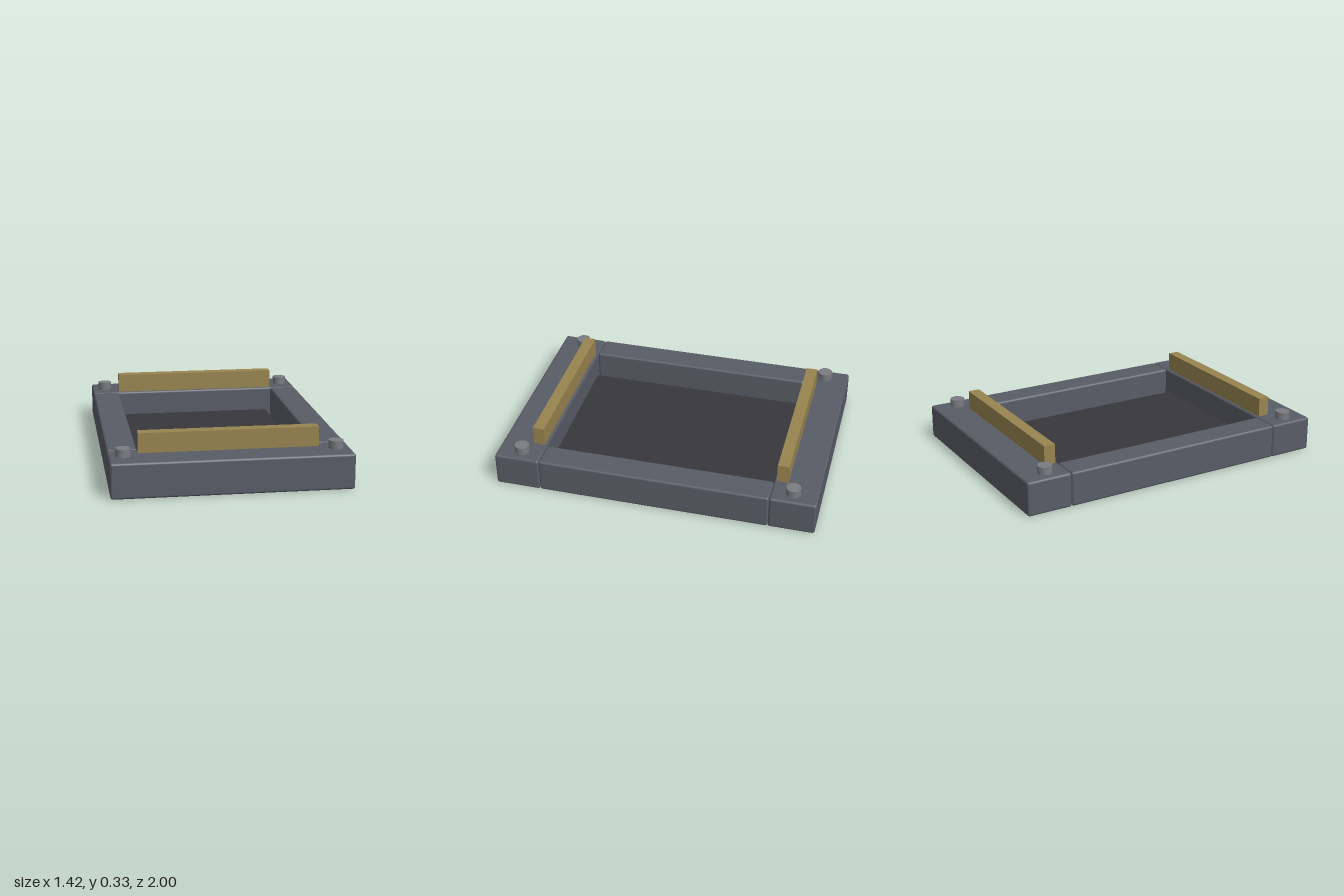
import * as THREE from 'three';
import { RoundedBoxGeometry } from 'three/addons/geometries/RoundedBoxGeometry.js';

const material = (name, color) => {
  const m = new THREE.MeshStandardMaterial({ color });
  m.name = name;
  return m;
};

export function createModel() {
  const steel = material('slate steel', 0x585c66);
  const brass = material('brass', 0x98844f);
  const dark = material('dark panel', 0x38373c);
  const grey = material('bolt grey', 0x7a7c82);

  const model = new THREE.Group();
  model.name = 'trayFrame';
  const add = (name, geometry, mat, x, y, z) => {
    const mesh = new THREE.Mesh(geometry, mat);
    mesh.name = name;
    mesh.position.set(x, y, z);
    model.add(mesh);
  };

  const H = 0.213; // frame height
  const endBeam = new RoundedBoxGeometry(1.42, H, 0.283, 2, 0.014);
  const sideBeam = new RoundedBoxGeometry(0.175, H, 1.434, 2, 0.014);
  const rail = new THREE.BoxGeometry(1.066, 0.12, 0.071);
  const bolt = new THREE.CylinderGeometry(0.045, 0.045, 0.05, 12);

  // Recessed floor panel, with a narrow gap along each side beam
  add('floorPanel', new THREE.BoxGeometry(1.01, 0.04, 1.434), dark, 0, 0.034, 0);

  for (const s of [1, -1]) {
    const end = s > 0 ? 'front' : 'back';
    const side = s > 0 ? 'left' : 'right';
    add(end + 'Beam', endBeam, steel, 0, H / 2, s * 0.8585);
    add(side + 'Beam', sideBeam, steel, s * 0.6225, H / 2, 0);
    add(end + 'Rail', rail, brass, 0, H + 0.059, s * 0.768);
    // Bolts on the end beam's corners
    for (const t of [1, -1]) {
      add(end + (t > 0 ? 'Left' : 'Right') + 'Bolt', bolt, grey, t * 0.625, H + 0.023, s * 0.848);
    }
  }
  return model;
}
